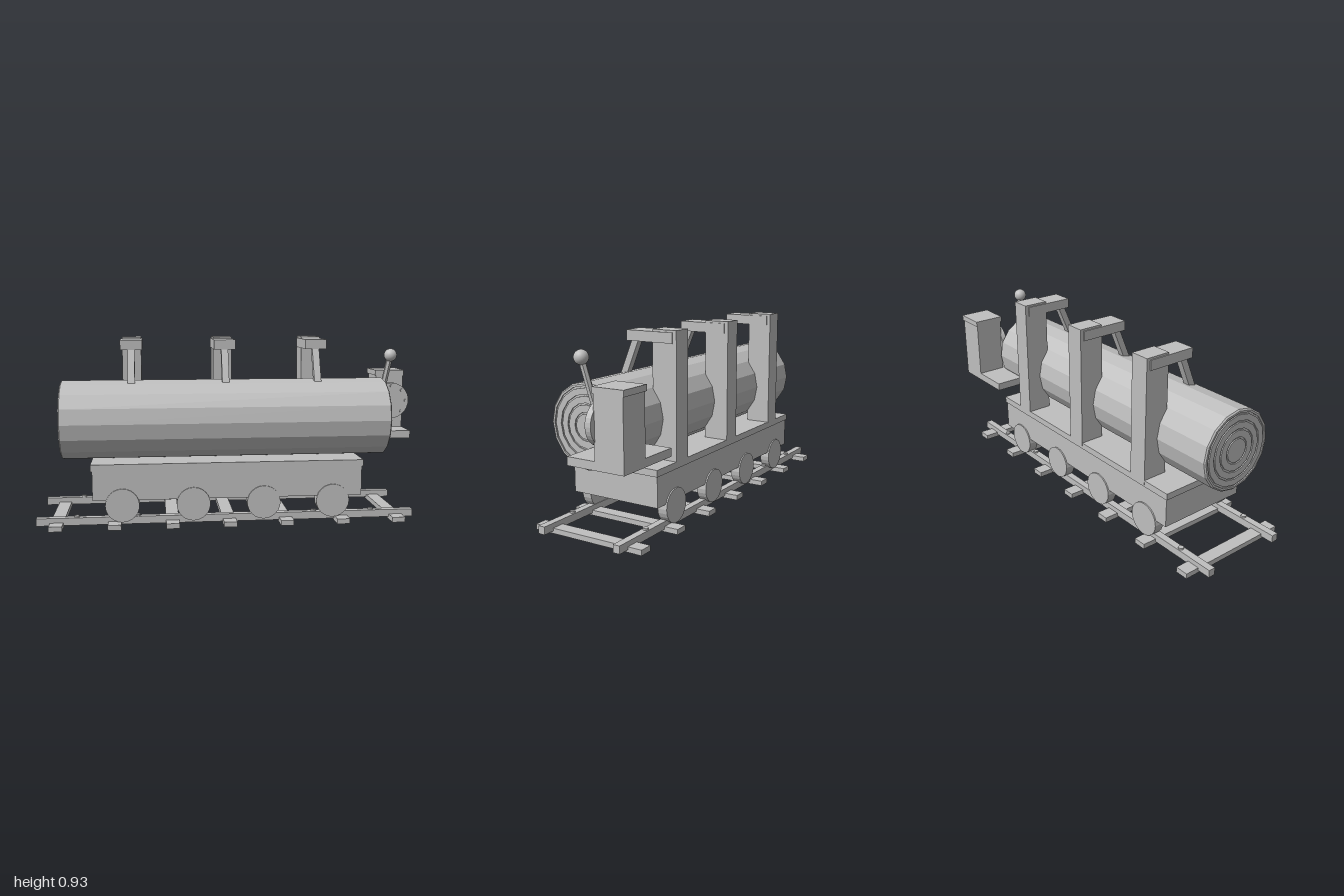
import * as THREE from 'three';

export function createModel() {
  const model = new THREE.Group();
  model.name = 'logCart';
  const grey = new THREE.MeshStandardMaterial({ color: 0xbfbfbf });
  grey.name = 'plain grey';

  function add(name, geometry, x = 0, y = 0, z = 0) {
    const mesh = new THREE.Mesh(geometry, grey);
    mesh.name = name;
    mesh.position.set(x, y, z);
    model.add(mesh);
    return mesh;
  }

  // box given by its limits on each axis
  function box(name, x0, x1, y0, y1, z0, z1) {
    return add(name, new THREE.BoxGeometry(x1 - x0, y1 - y0, z1 - z0),
      (x0 + x1) / 2, (y0 + y1) / 2, (z0 + z1) / 2);
  }

  // faceted copy of a geometry
  function faceted(geometry) {
    const flat = geometry.toNonIndexed();
    flat.computeVertexNormals();
    return flat;
  }

  // disc whose axis runs along z
  function disc(name, radius, depth, sides, x, y, z) {
    const g = faceted(new THREE.CylinderGeometry(radius, radius, depth, sides));
    return add(name, g.rotateX(Math.PI / 2), x, y, z);
  }

  // track: sleepers, rails and rail spikes
  for (let i = 0; i < 7; i++) {
    const x = -0.9 + i * 0.288;
    box('sleeper', x - 0.033, x + 0.033, 0, 0.026, -0.302, 0.302);
  }
  for (const z of [0.215, -0.211]) {
    box('rail', -1, 0.92, 0.012, 0.05, z - 0.018, z + 0.018);
    for (let i = 0; i < 6; i++) {
      add('railSpike', new THREE.CylinderGeometry(0.014, 0.014, 0.016, 8), -0.8 + i * 0.3, 0.05, z);
    }
  }

  // cart body, deck and wheels
  box('cartBody', -0.72, 0.643, 0.136, 0.288, -0.238, 0.243);
  box('deck', -0.727, 0.65, 0.286, 0.319, -0.243, 0.248);
  for (const x of [-0.573, -0.218, 0.138, 0.493]) {
    for (const z of [0.225, -0.22]) disc('wheel', 0.085, 0.05, 24, x, 0.11, z);
  }

  // log with ring grooves cut into both ends
  const half = 0.84, profile = [];
  const end = [[0, 0]];
  for (const r of [0.063, 0.105, 0.144, 0.182]) {
    end.push([r - 0.004, 0], [r - 0.004, 0.006], [r + 0.004, 0.006], [r + 0.004, 0]);
  }
  end.push([0.196, 0], [0.203, 0.006]);
  for (const [r, d] of end) profile.push(new THREE.Vector2(r, d - half));
  for (const [r, d] of end.slice().reverse()) profile.push(new THREE.Vector2(r, half - d));
  const log = faceted(new THREE.LatheGeometry(profile, 16));
  add('log', log.rotateZ(-Math.PI / 2), -0.04, 0.515, 0.032);

  // three clamps: post, arm and slanted strut
  for (const x of [-0.522, -0.04, 0.44]) {
    box('clampPost', x - 0.05, x + 0.05, 0.295, 0.931, -0.244, -0.114);
    box('clampArm', x - 0.056, x + 0.056, 0.871, 0.921, -0.225, 0.029);
    const strut = add('clampStrut', new THREE.BoxGeometry(0.036, 0.24, 0.034), x, 0.785, 0.042);
    strut.rotation.x = -0.394;
  }

  // control cabinet on its shelf
  box('shelf', 0.62, 0.973, 0.385, 0.425, -0.3, 0.002);
  box('cabinet', 0.82, 0.973, 0.385, 0.716, -0.3, -0.148);
  box('cabinetCap', 0.814, 0.976, 0.714, 0.743, -0.306, -0.143);

  // round plate with a ring of bolts
  disc('dialPlate', 0.099, 0.03, 32, 0.901, 0.575, -0.137);
  for (let i = 0; i < 8; i++) {
    const a = i * Math.PI / 4;
    disc('dialBolt', 0.008, 0.012, 8, 0.901 + 0.082 * Math.cos(a), 0.575 + 0.082 * Math.sin(a), -0.121);
  }

  // lever leaning out of the log end, with a ball knob
  const foot = new THREE.Vector3(0.787, 0.42, -0.07);
  const knob = new THREE.Vector3(0.847, 0.836, 0.013);
  const along = knob.clone().sub(foot);
  const lever = add('lever', faceted(new THREE.CylinderGeometry(0.016, 0.016, along.length(), 6)));
  lever.position.copy(foot).add(knob).multiplyScalar(0.5);
  lever.quaternion.setFromUnitVectors(new THREE.Vector3(0, 1, 0), along.normalize());
  add('leverKnob', new THREE.SphereGeometry(0.034, 24, 16), knob.x, knob.y, knob.z);

  return model;
}
